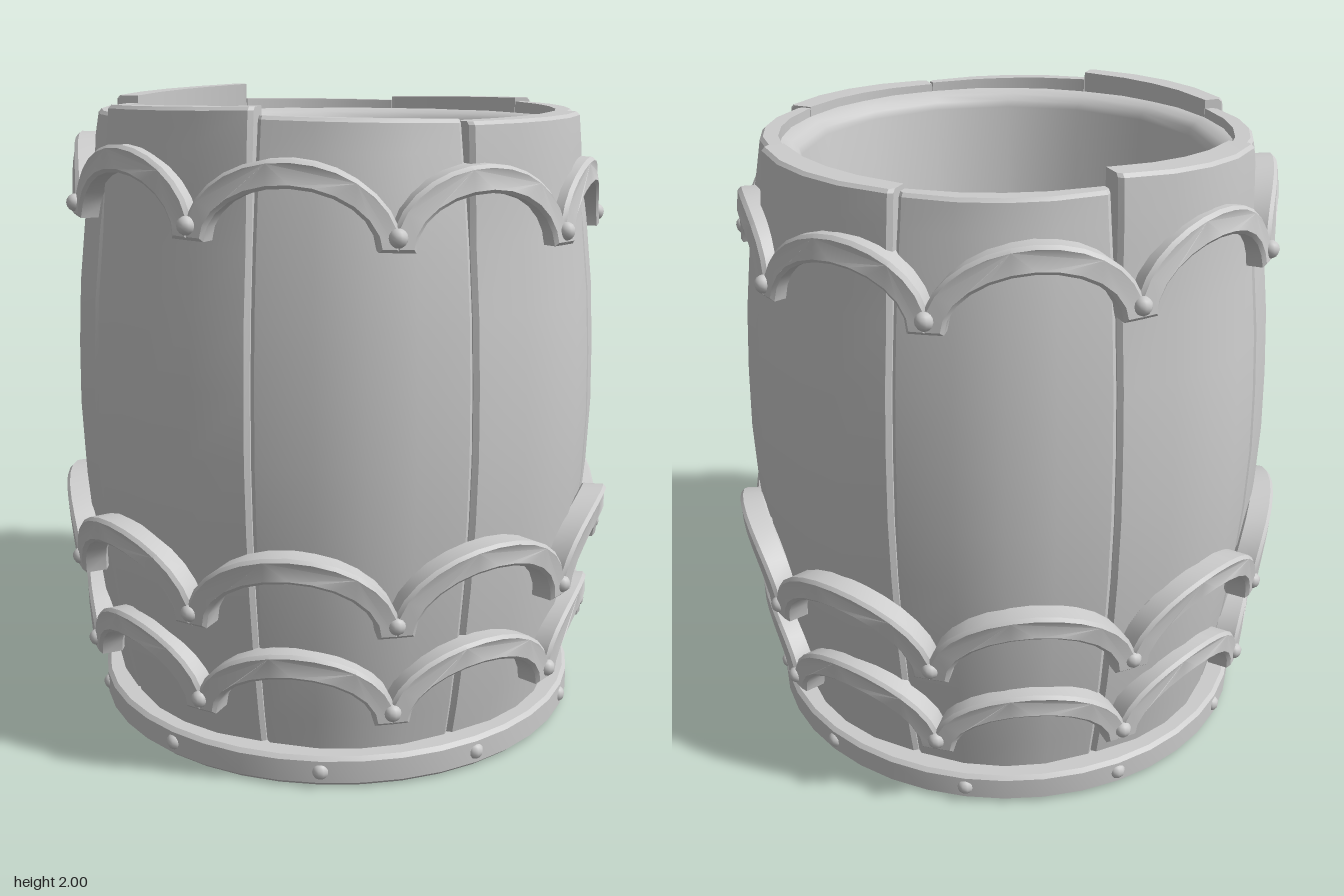
import * as THREE from 'three';
import { toCreasedNormals } from 'three/addons/utils/BufferGeometryUtils.js';

const material = new THREE.MeshStandardMaterial({ color: 0xcccccc });
const DEG = Math.PI / 180;

function addMesh(parent, name, geometry) {
  const mesh = new THREE.Mesh(geometry, material);
  mesh.name = name;
  parent.add(mesh);
  return mesh;
}

// Point on the barrel: angle runs from the front (+z) towards +x
const polar = (angle, r, y) => [r * Math.sin(angle), y, r * Math.cos(angle)];

// Stave rows: height, outer radius
const ROWS = [
  [0.04, 0.73], [0.2, 0.763], [0.4, 0.797], [0.6, 0.822], [0.8, 0.838], [1.0, 0.845],
  [1.2, 0.84], [1.4, 0.828], [1.6, 0.805], [1.75, 0.782], [1.85, 0.763], [1.935, 0.748], [1.945, 0.738],
];
const COLUMNS = [-22.4, -21.4, -10, 0, 10, 21.4, 22.4];
const STAVE_INNER = 0.69;

// One curved plank; lift and slope shape its top, flare pushes the top outwards
function staveGeometry(center, lift, slope, flare) {
  const n = COLUMNS.length, loop = 2 * n, positions = [], index = [];
  for (const [y, outer] of ROWS) {
    const top = THREE.MathUtils.smoothstep(y, 1.6, 1.945);
    const put = (deg, r) => {
      const u = deg / 22;
      positions.push(...polar(center + deg * DEG, r, y + top * (lift + slope * u)));
    };
    for (const deg of COLUMNS) {
      const bevel = Math.abs(deg) > 22 ? 0.01 : 0;
      put(deg, outer * (1 - 0.014 * (deg / 20) ** 2) - bevel + top * flare);
    }
    for (const deg of [...COLUMNS].reverse()) put(deg, STAVE_INNER);
  }
  const quad = (a, b, c, d) => index.push(a, b, c, a, c, d);
  for (let i = 0; i < ROWS.length - 1; i++) {
    for (let j = 0; j < loop; j++) {
      const k = (j + 1) % loop;
      quad(i * loop + j, i * loop + k, (i + 1) * loop + k, (i + 1) * loop + j);
    }
  }
  const t = (ROWS.length - 1) * loop;
  for (let j = 0; j < n - 1; j++) quad(t + j, t + j + 1, t + loop - 2 - j, t + loop - 1 - j);
  const geometry = new THREE.BufferGeometry();
  geometry.setAttribute('position', new THREE.Float32BufferAttribute(positions, 3));
  geometry.setIndex(index);
  return toCreasedNormals(geometry, 0.4);
}

// Flat outline of one arch: two feet, a round opening and a wider round top
const HALF = 0.285, ARCH_STEPS = 12;
function archShape(height) {
  const shape = new THREE.Shape();
  shape.moveTo(-HALF, 0);
  for (let i = 0; i <= ARCH_STEPS; i++) {
    const a = Math.PI * (1 - i / ARCH_STEPS);
    shape.lineTo(0.23 * Math.cos(a), (height - 0.078) * Math.sin(a));
  }
  shape.lineTo(HALF, 0);
  const start = 0.08 * Math.PI;
  for (let i = 0; i <= ARCH_STEPS; i++) {
    const a = start + (Math.PI - 2 * start) * i / ARCH_STEPS;
    const s = (Math.sin(a) - Math.sin(start)) / (1 - Math.sin(start));
    shape.lineTo(HALF * Math.cos(a) / Math.cos(start), 0.065 + (height - 0.065) * s);
  }
  return shape;
}

// Bends an extruded arch around the barrel
function archGeometry(center, band) {
  const depth = 0.075, bevel = 0.01;
  const geometry = new THREE.ExtrudeGeometry(archShape(band.height), {
    depth: depth - bevel, steps: 1, bevelEnabled: true, bevelSegments: 1,
    bevelSize: bevel, bevelThickness: bevel, bevelOffset: -bevel,
  });
  const p = geometry.attributes.position;
  for (let i = 0; i < p.count; i++) {
    const y = p.getY(i);
    const face = THREE.MathUtils.lerp(band.foot, band.peak, y / band.height);
    const r = face - depth + p.getZ(i);
    const angle = center + p.getX(i) / (HALF - 0.006) * 20 * DEG;
    const [px, , pz] = polar(angle, r, 0);
    p.setXYZ(i, px, band.y + y + band.tilt * px, pz);
  }
  return toCreasedNormals(geometry, 0.55);
}

function addRivet(parent, angle, r, y) {
  const rivet = addMesh(parent, 'rivet', new THREE.SphereGeometry(0.027, 10, 8));
  rivet.position.set(...polar(angle, r, y));
}

function addScallopedBand(parent, band) {
  const group = new THREE.Group();
  group.name = band.name;
  parent.add(group);
  for (let i = 0; i < 9; i++) {
    const pin = (5.7 + 40 * i) * DEG;
    addMesh(group, 'arch', archGeometry(pin + 20 * DEG, band));
    const r = band.foot - 0.006;
    addRivet(group, pin, r, band.y + 0.04 + band.tilt * r * Math.sin(pin));
  }
}

export function createModel() {
  const model = new THREE.Group();
  model.name = 'barrel';

  // Eight staves with uneven tops, counted from the front towards +x
  const staves = new THREE.Group();
  staves.name = 'staves';
  model.add(staves);
  const tops = [
    [0.003, -0.006, 0], [-0.005, 0.003, 0.035], [0, 0.005, 0], [0.013, -0.004, 0.025],
    [0, 0.004, 0], [0.042, -0.013, 0.035], [0, -0.004, 0], [0.028, 0.005, 0.025],
  ];
  tops.forEach(([lift, slope, flare], i) =>
    addMesh(staves, 'stave', staveGeometry(i * 45 * DEG, lift, slope, flare)));

  // Inner wall with a rounded ledge just below the stave tops
  const liner = [[0.72, 1.915], [0.69, 1.912], [0.66, 1.9], [0.64, 1.882], [0.632, 1.86], [0.632, 0.05]]
    .map(([r, y]) => new THREE.Vector2(r, y));
  addMesh(model, 'innerWall', toCreasedNormals(new THREE.LatheGeometry(liner, 16), 0.6));

  // Bottom hoop and floor
  const hoop = [[0, 0], [0.78, 0], [0.797, 0.015], [0.797, 0.085], [0.785, 0.097], [0, 0.097]]
    .map(([r, y]) => new THREE.Vector2(r, y));
  addMesh(model, 'baseHoop', toCreasedNormals(new THREE.LatheGeometry(hoop, 40), 0.4));
  const baseRivets = new THREE.Group();
  baseRivets.name = 'baseRivets';
  model.add(baseRivets);
  for (let i = 0; i < 10; i++) addRivet(baseRivets, (36 * i - 9) * DEG, 0.785, 0.05);

  // Scalloped bands; the top one sits slightly tilted
  addScallopedBand(model, { name: 'topBand', y: 1.605, height: 0.235, foot: 0.85, peak: 0.82, tilt: -0.04 });
  addScallopedBand(model, { name: 'middleBand', y: 0.51, height: 0.25, foot: 0.885, peak: 0.903, tilt: 0 });
  addScallopedBand(model, { name: 'lowerBand', y: 0.22, height: 0.225, foot: 0.845, peak: 0.85, tilt: 0 });

  return model;
}
